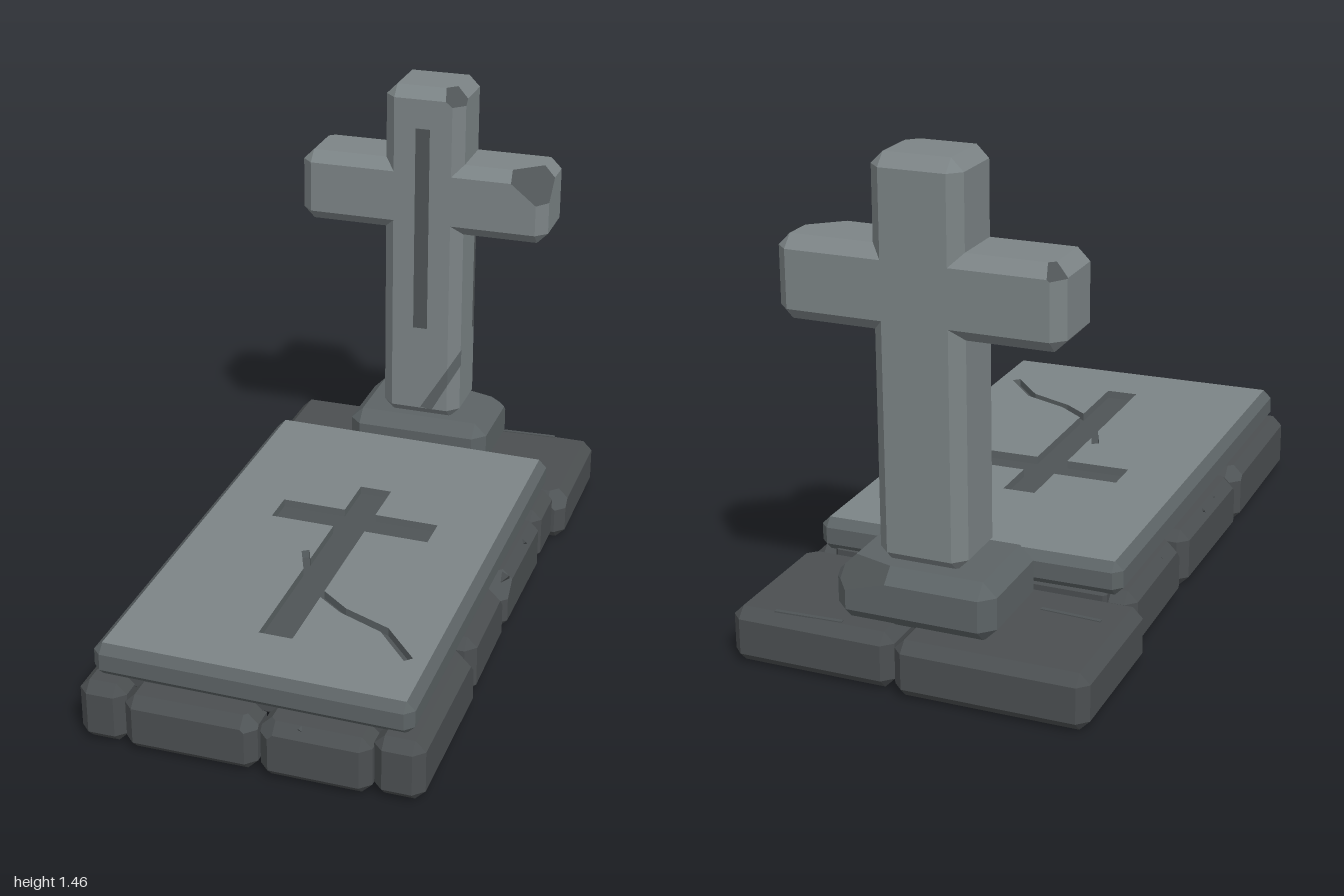
import * as THREE from 'three';
import { ConvexGeometry } from 'three/addons/geometries/ConvexGeometry.js';

const colour = (name, hex) => Object.assign(new THREE.MeshStandardMaterial({ color: hex }), { name });

// Convex chamfered block between two corners; each cut [nx,ny,nz, px,py,pz] slices off a piece,
// leaving a face in the second material.
function block(name, lo, hi, c, mat, cutMat, cuts = []) {
  const a = new THREE.Vector3(...lo), b = new THREE.Vector3(...hi);
  const mid = a.clone().add(b).multiplyScalar(0.5), h = b.clone().sub(a).multiplyScalar(0.5);
  const planes = [];
  for (let i = -1; i <= 1; i++) for (let j = -1; j <= 1; j++) for (let k = -1; k <= 1; k++) {
    const n = Math.abs(i) + Math.abs(j) + Math.abs(k);
    if (!n) continue;
    const d = Math.abs(i) * h.x + Math.abs(j) * h.y + Math.abs(k) * h.z - c * (n - 1);
    planes.push({ n: new THREE.Vector3(i, j, k), d });
  }
  const cutPlanes = cuts.map(([x, y, z, px, py, pz]) => {
    const n = new THREE.Vector3(x, y, z).normalize();
    return { n, d: n.dot(new THREE.Vector3(px, py, pz).sub(mid)) };
  });
  planes.push(...cutPlanes);

  // Corners are the points where three planes meet inside all the others
  const pts = [], cr = new THREE.Vector3();
  for (let i = 0; i < planes.length; i++) for (let j = i + 1; j < planes.length; j++) {
    for (let k = j + 1; k < planes.length; k++) {
      const [p, q, r] = [planes[i], planes[j], planes[k]];
      const det = p.n.dot(cr.crossVectors(q.n, r.n));
      if (Math.abs(det) < 1e-6) continue;
      const v = cr.clone().multiplyScalar(p.d)
        .addScaledVector(new THREE.Vector3().crossVectors(r.n, p.n), q.d)
        .addScaledVector(new THREE.Vector3().crossVectors(p.n, q.n), r.d).divideScalar(det);
      if (planes.some(s => s.n.dot(v) > s.d + 1e-6)) continue;
      if (!pts.some(o => o.distanceTo(v) < 1e-4)) pts.push(v);
    }
  }

  // Sort the triangles into plain faces and cut faces
  const pos = new ConvexGeometry(pts).attributes.position, plain = [], cut = [];
  for (let t = 0; t < pos.count; t += 3) {
    const tri = [0, 1, 2].map(k => new THREE.Vector3().fromBufferAttribute(pos, t + k));
    const onCut = cutPlanes.some(s => tri.every(v => Math.abs(s.n.dot(v) - s.d) < 1e-4));
    tri.forEach(v => (onCut ? cut : plain).push(v.x, v.y, v.z));
  }
  const geo = new THREE.BufferGeometry();
  geo.setAttribute('position', new THREE.Float32BufferAttribute([...plain, ...cut], 3));
  geo.addGroup(0, plain.length / 3, 0);
  if (cut.length) geo.addGroup(plain.length / 3, cut.length / 3, 1);
  geo.computeVertexNormals();
  const mesh = new THREE.Mesh(geo, [mat, cutMat]);
  mesh.name = name;
  mesh.position.copy(mid);
  return mesh;
}

// Thin flat bar for grooves and cracks
function plate(name, size, at, mat, turn = 0) {
  const mesh = new THREE.Mesh(new THREE.BoxGeometry(...size), mat);
  mesh.name = name;
  mesh.position.set(...at);
  mesh.rotation.y = turn;
  return mesh;
}

// Strip between a lower and an upper line of points
function ribbon(name, low, up, mat) {
  const v = [];
  for (let i = 0; i + 1 < low.length; i++)
    v.push(...low[i], ...low[i + 1], ...up[i + 1], ...low[i], ...up[i + 1], ...up[i]);
  const geo = new THREE.BufferGeometry();
  geo.setAttribute('position', new THREE.Float32BufferAttribute(v, 3));
  geo.computeVertexNormals();
  const mesh = new THREE.Mesh(geo, mat);
  mesh.name = name;
  return mesh;
}

export function createModel() {
  const light = colour('light stone', 0x7c8486);
  const medium = colour('medium stone', 0x5c6365);
  const dark = colour('dark stone', 0x4b4f51);
  const carved = colour('carved stone', 0x4f5456);
  const root = new THREE.Group();
  root.name = 'grave';

  // Plinth: two large slabs at the back
  root.add(
    block('plinthRight', [-0.53, 0, -1], [0.03, 0.165, -0.53], 0.03, dark, carved),
    block('plinthLeft', [0.04, 0, -0.98], [0.53, 0.165, -0.53], 0.03, dark, carved,
      [[1, 1, 1, 0.47, 0.16, -0.55]]),
    plate('plinthCrack', [0.2, 0.004, 0.012], [0.3, 0.166, -0.945], carved, 0.05),
    plate('plinthCrack', [0.18, 0.004, 0.012], [-0.36, 0.166, -0.67], carved, -0.06));

  // Border stones: [x0, x1, z0, z1, height, twist, cuts]
  const stones = [
    [-0.5, -0.36, 0.44, 0.985, 0.185, 0.005, [[-1, 1, -1, -0.475, 0.165, 0.47]]],
    [-0.5, -0.37, -0.08, 0.425, 0.18, -0.01, [[-1, 1, 1, -0.475, 0.16, 0.395]]],
    [-0.495, -0.37, -0.54, -0.1, 0.185, 0.01, [[-1, 1, 1, -0.47, 0.165, -0.14]]],
    [0.36, 0.505, 0.46, 0.985, 0.185, -0.005, [[1, 1, -1, 0.475, 0.165, 0.5]]],
    [0.37, 0.495, 0.09, 0.45, 0.185, 0.01, [[1, 1, -1, 0.47, 0.16, 0.13]]],
    [0.37, 0.495, -0.345, 0.08, 0.18, -0.01, [[1, 1, 1, 0.465, 0.155, 0.03]]],
    [0.37, 0.49, -0.56, -0.355, 0.18, 0, []],
    [-0.36, 0.03, 0.86, 0.995, 0.17, 0.004, [[1, 1, 1, 0.0, 0.155, 0.97]]],
    [0.04, 0.36, 0.86, 1, 0.175, -0.006, [[-1, 1, 1, 0.07, 0.155, 0.975]]],
  ];
  for (const [x0, x1, z0, z1, y, twist, cuts] of stones) {
    const stone = block('borderStone', [x0, 0, z0], [x1, y, z1], 0.03, dark, carved, cuts);
    stone.rotation.y = twist;
    root.add(stone);
  }
  // Chips along the tops of the border stones
  for (const [x, z] of [[-0.47, -0.23], [-0.475, 0.14], [-0.47, 0.25], [0.475, -0.2], [0.475, 0.02], [0.16, 0.97]]) {
    const chip = new THREE.Mesh(new THREE.TetrahedronGeometry(0.022), carved);
    chip.name = 'stoneChip';
    chip.position.set(x, 0.162, z);
    chip.rotation.y = x * 7 + z;
    root.add(chip);
  }
  root.add(block('slabBed', [-0.42, 0.14, -0.56], [0.42, 0.192, 0.9], 0.01, dark, carved));

  // Covering slab: body, then a chamfered top layer pierced by the carved cross and crack
  const slab = new THREE.Group();
  slab.name = 'coveringSlab';
  const hx = 0.465, hz = 0.76, c = 0.025, e = 0.001, ox = hx - c, oz = hz - c, zc = 0.185;
  slab.add(block('slabBody', [-hx, -0.05, -hz], [hx, 0.05, hz], c, medium, carved,
    [[0, 1, 0, 0, 0.05 - c, 0]]));
  const outline = [];
  for (const [sx, sz] of [[1, 1], [-1, 1], [-1, -1], [1, -1]]) {
    const pair = [[sx * ox, sz * (oz - e)], [sx * (ox - e), sz * oz]];
    outline.push(...(sx * sz > 0 ? pair : pair.reverse()));
  }
  const top = new THREE.Shape(outline.map(p => new THREE.Vector2(...p)));
  const carving = [
    [-0.05, -0.18], [0.05, -0.18], [0.05, -0.02], [0.25, -0.02], [0.25, 0.09], [0.05, 0.09],
    [0.05, 0.46], [0.14, 0.53], [0.285, 0.59], [0.395, 0.715], [0.375, 0.735], [0.27, 0.615],
    [0.13, 0.555], [0.05, 0.495], [0.05, 0.73], [-0.05, 0.73], [-0.05, 0.36], [-0.09, 0.265],
    [-0.07, 0.25], [-0.05, 0.3], [-0.05, 0.09], [-0.25, 0.09], [-0.25, -0.02], [-0.05, -0.02],
  ];
  top.holes.push(new THREE.Path(carving.map(([x, z]) => new THREE.Vector2(x, zc - z))));
  const layer = new THREE.ExtrudeGeometry(top, { depth: c, bevelEnabled: false });
  const lp = layer.attributes.position;
  for (let i = 0; i < lp.count; i++) {
    // Spread the lower rim outward to form the chamfer
    if (lp.getZ(i) > c / 2) continue;
    const x = lp.getX(i), y = lp.getY(i);
    if (Math.abs(x) > ox - e / 2) lp.setX(i, Math.sign(x) * hx);
    else if (Math.abs(y) > oz - e / 2) lp.setY(i, Math.sign(y) * hz);
  }
  layer.computeVertexNormals();
  layer.rotateX(-Math.PI / 2);
  const slabTop = new THREE.Mesh(layer, [light, medium]);
  slabTop.name = 'slabTop';
  slabTop.position.y = 0.05 - c;
  slab.add(slabTop);
  slab.position.set(-0.003, 0.233, zc);
  slab.rotation.z = -0.011;
  root.add(slab);

  // Pedestal under the standing cross
  root.add(block('pedestal', [-0.235, 0.16, -0.93], [0.235, 0.332, -0.595], 0.04, medium, carved,
    [[0.3, 1, -1, 0.05, 0.325, -0.905], [1, 1, -1, 0.2, 0.3, -0.9]]));

  // Standing cross with broken corners
  const zb = -0.87, zf = -0.64;
  root.add(
    block('crossShaft', [-0.13, 0.325, zb], [0.13, 1.46, zf], 0.035, light, carved,
      [[0.8, 1, 0.8, 0.06, 1.44, -0.645]]),
    block('crossArmLeft', [0.03, 0.98, zb], [0.407, 1.215, zf], 0.035, light, carved,
      [[0.8, 1, 0.91, 0.29, 1.18, zf]]),
    block('crossArmRight', [-0.41, 0.98, zb], [-0.03, 1.215, zf], 0.035, light, carved,
      [[-0.7, 1, -0.8, -0.35, 1.2, -0.86]]),
    plate('crossGroove', [0.046, 0.68, 0.006], [0, 0.99, zf], carved),
    plate('sideCrack', [0.005, 0.37, 0.012], [0.13, 0.785, -0.82], carved),
    ribbon('shaftScar',
      [[0.045, 0.36, -0.637], [0.097, 0.455, -0.637], [0.133, 0.52, -0.673]],
      [[0.005, 0.365, -0.637], [0.097, 0.515, -0.637], [0.133, 0.575, -0.673]], medium));
  return root;
}
